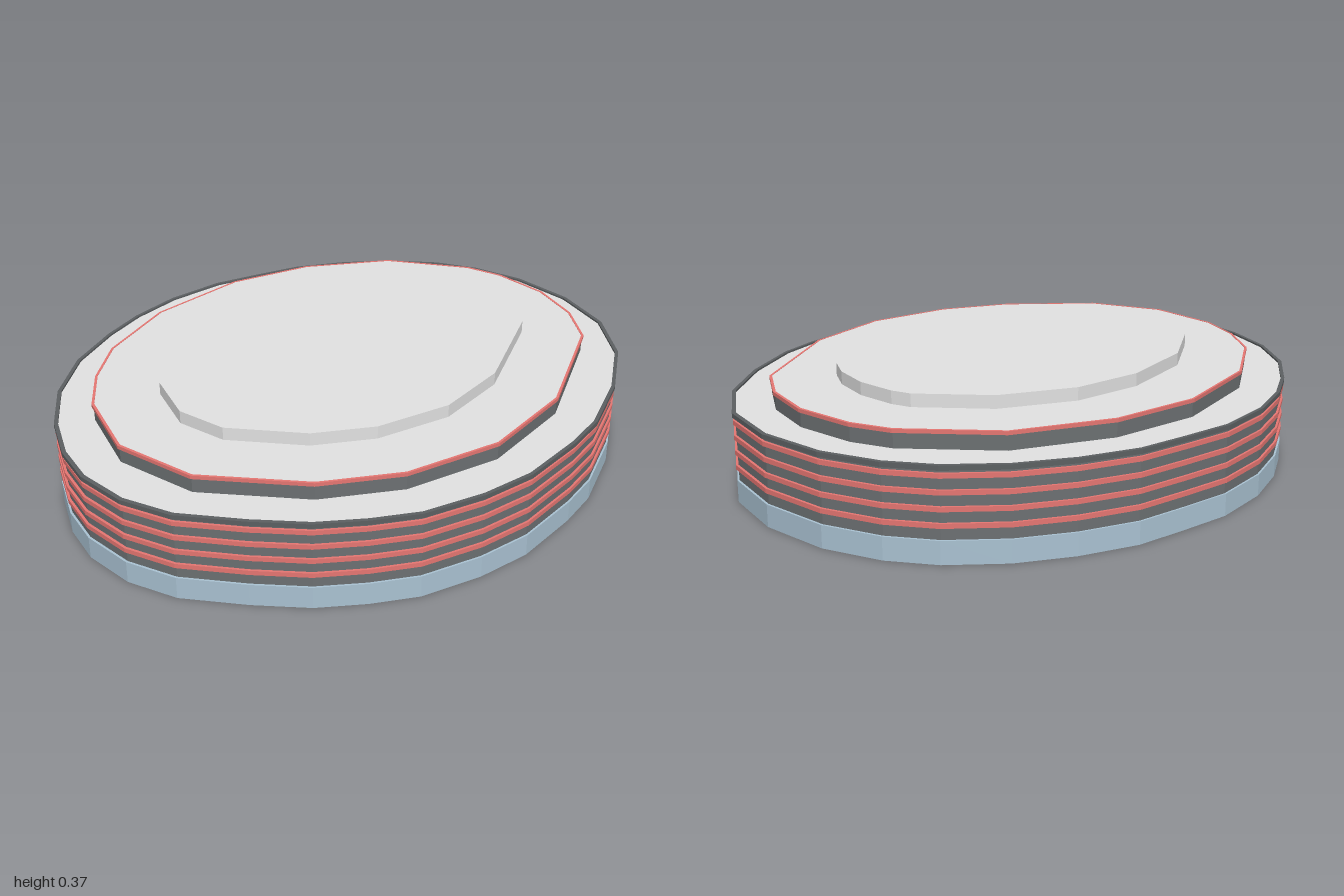
import * as THREE from 'three';

const mats = {
  plate: new THREE.MeshStandardMaterial({ color: 0xe2e2e2 }),
  wall: new THREE.MeshStandardMaterial({ color: 0x6c7072 }),
  rim: new THREE.MeshStandardMaterial({ color: 0x5c6062 }),
  base: new THREE.MeshStandardMaterial({ color: 0xaac2d2 }),
  trim: new THREE.MeshStandardMaterial({ color: 0xe67672 }),
};
for (const [name, m] of Object.entries(mats)) m.name = name + ' colour';

// Outlines as [x, z], running clockwise seen from above
const outer = [
  [-0.01, -1], [0.18, -0.99], [0.4, -0.915], [0.59, -0.78], [0.728, -0.58], [0.807, -0.34],
  [0.845, -0.09], [0.838, 0.06], [0.803, 0.29], [0.738, 0.455], [0.637, 0.625], [0.53, 0.73],
  [0.41, 0.825], [0.255, 0.905], [0.065, 0.985], [-0.1, 1], [-0.27, 0.965], [-0.405, 0.895],
  [-0.545, 0.78], [-0.68, 0.62], [-0.78, 0.42], [-0.828, 0.21], [-0.845, 0.04], [-0.833, -0.15],
  [-0.778, -0.35], [-0.695, -0.5], [-0.61, -0.645], [-0.48, -0.78], [-0.335, -0.89], [-0.165, -0.97],
];
const middle = [
  [0.015, -0.88], [0.15, -0.875], [0.345, -0.81], [0.505, -0.69], [0.615, -0.54], [0.718, -0.08],
  [0.683, 0.26], [0.538, 0.54], [0.35, 0.718], [0.04, 0.863], [-0.235, 0.843], [-0.465, 0.695],
  [-0.58, 0.55], [-0.67, 0.37], [-0.72, 0.06], [-0.66, -0.3], [-0.515, -0.565], [-0.28, -0.783],
];
const upper = [
  [0.06, -0.677], [0.125, -0.67], [0.25, -0.622], [0.36, -0.54], [0.427, -0.455], [0.513, -0.06],
  [0.487, 0.2], [0.373, 0.42], [0.23, 0.555], [0, 0.658], [-0.165, 0.645], [-0.33, 0.535],
  [-0.405, 0.445], [-0.47, 0.32], [-0.515, 0.055], [-0.465, -0.23], [-0.355, -0.44], [-0.17, -0.603],
];

const scaled = (pts, s) => pts.map(([x, z]) => new THREE.Vector2(x * s, -z * s));

// Upright prism of a plan shape between two heights
function prism(name, shape, y0, y1, mat) {
  const geo = new THREE.ExtrudeGeometry(shape, { depth: y1 - y0, bevelEnabled: false });
  geo.rotateX(-Math.PI / 2).translate(0, y0, 0);
  const mesh = new THREE.Mesh(geo, mat);
  mesh.name = name;
  return mesh;
}

function slab(name, pts, s, y0, y1, mat) {
  return prism(name, new THREE.Shape(scaled(pts, s)), y0, y1, mat);
}

// Closed hoop between two scales of an outline; the hole runs the other way
function hoop(name, pts, sOut, sIn, y0, y1, mat) {
  const shape = new THREE.Shape(scaled(pts, sOut));
  shape.holes.push(new THREE.Path(scaled(pts, sIn).reverse()));
  return prism(name, shape, y0, y1, mat);
}

// Part of a hoop, lining the inside of the wall
function liner(name, from, to, y0, y1, mat) {
  const part = outer.slice(from, to + 1);
  const shape = new THREE.Shape([...scaled(part, 0.983), ...scaled(part, 0.977).reverse()]);
  return prism(name, shape, y0, y1, mat);
}

export function createModel() {
  const model = new THREE.Group();
  model.name = 'tieredOvalDrum';

  // Hollow drum, open below
  model.add(hoop('drumWall', outer, 0.99, 0.98, 0.002, 0.265, mats.wall));
  model.add(hoop('baseBand', outer, 0.997, 0.985, 0, 0.068, mats.base));
  model.add(hoop('topRim', outer, 1, 0.987, 0.262, 0.276, mats.rim));
  model.add(slab('drumTop', outer, 0.988, 0.26, 0.27, mats.plate));

  // Four trim rings, showing through the wall in places
  for (let i = 0; i < 4; i++) {
    const y = 0.102 + i * 0.046;
    model.add(hoop('trimRing' + (i + 1), outer, 0.998, 0.985, y, y + 0.014, mats.trim));
    for (const [a, b] of [[11, 13], [17, 20], [22, 25]]) {
      model.add(liner('trimLiner', a, b, y, y + 0.014, mats.trim));
    }
  }
  for (const [a, b] of [[11, 12], [14, 20], [21, 22], [24, 25]]) {
    model.add(liner('baseLiner', a, b, 0, 0.068, mats.base));
  }

  // Middle tier with its trim edge
  model.add(slab('middleTier', middle, 0.993, 0.268, 0.317, mats.wall));
  model.add(hoop('middleTrim', middle, 1, 0.99, 0.315, 0.326, mats.trim));
  model.add(slab('middleTop', middle, 0.991, 0.316, 0.325, mats.plate));

  // Upper tier
  model.add(slab('upperTier', upper, 1, 0.324, 0.365, mats.plate));
  return model;
}
